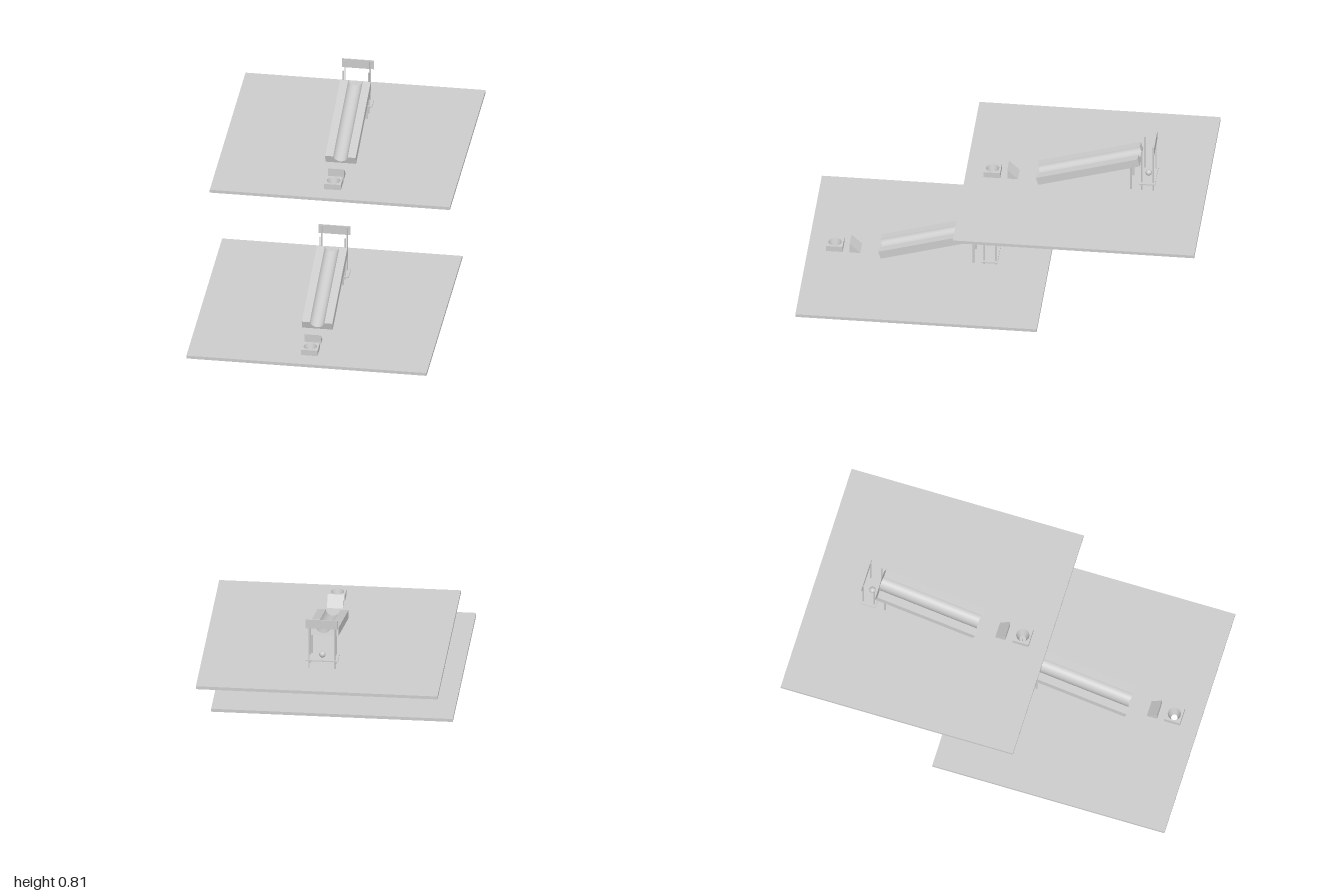
import * as THREE from 'three';

const mat = new THREE.MeshStandardMaterial({ color: 0xcccccc });
const thinMat = new THREE.MeshStandardMaterial({ color: 0xcccccc, side: THREE.DoubleSide });

const BOTTOM = 0.011, FLOOR = 0.027; // slab underside and top
const CUP_Z = 0.867;                 // centre of the cup

function add(group, name, geometry, x = 0, y = 0, z = 0, material = mat) {
  const mesh = new THREE.Mesh(geometry, material);
  mesh.name = name;
  mesh.position.set(x, y, z);
  group.add(mesh);
  return mesh;
}

// Square plate lying flat, with a round hole at holeZ from its centre
function holedPlate(size, height, holeRadius, holeZ) {
  const h = size / 2;
  const shape = new THREE.Shape([[-h, -h], [h, -h], [h, h], [-h, h]].map(p => new THREE.Vector2(...p)));
  const hole = new THREE.Path();
  hole.absarc(0, -holeZ, holeRadius, 0, Math.PI * 2, true);
  shape.holes.push(hole);
  return new THREE.ExtrudeGeometry(shape, { depth: height, bevelEnabled: false, curveSegments: 24 })
    .rotateX(-Math.PI / 2);
}

// Upright rod from the slab's underside to a given top
function rod(group, name, x, z, top, radius) {
  const height = top - BOTTOM + 0.0005;
  add(group, name, new THREE.CylinderGeometry(radius, radius, height, 16), x, top - height / 2, z);
}

function createLevel(platformY, withBall) {
  const level = new THREE.Group();

  // Ground slab with a drain hole under the cup
  add(level, 'slab', holedPlate(1.21, FLOOR - BOTTOM, 0.024, CUP_Z - 0.395), 0, BOTTOM, 0.395);

  // Cup: square block with an open funnel running down through the slab
  add(level, 'cupBlock', holedPlate(0.084, 0.03, 0.033, 0), 0, FLOOR, CUP_Z);
  const funnel = new THREE.LatheGeometry(
    [new THREE.Vector2(0.016, 0), new THREE.Vector2(0.033, 0.057)], 32);
  add(level, 'funnel', funnel, 0, 0, CUP_Z, thinMat);

  // Wedge with its upright face toward the cup
  const wedge = new THREE.Shape();
  wedge.moveTo(0, 0);
  wedge.lineTo(0.053, 0);
  wedge.lineTo(0, 0.052);
  wedge.closePath();
  const wedgeGeo = new THREE.ExtrudeGeometry(wedge, { depth: 0.082, bevelEnabled: false })
    .translate(0, 0, -0.041).rotateY(Math.PI / 2);
  add(level, 'wedge', wedgeGeo, 0, FLOOR, 0.789);

  // Sloping ramp with a round groove along its top
  const w = 0.077, t = 0.043, r = 0.037, rise = 0.006;
  const a = Math.asin(rise / r);
  const section = new THREE.Shape();
  section.moveTo(-w, 0);
  section.lineTo(w, 0);
  section.lineTo(w, t);
  section.absarc(0, t + rise, r, -a, -Math.PI + a, true);
  section.lineTo(-w, t);
  section.closePath();
  const rampGeo = new THREE.ExtrudeGeometry(section, { depth: 0.532, bevelEnabled: false, curveSegments: 24 });
  add(level, 'ramp', rampGeo, 0, 0.177, 0.12).rotation.x = 0.289;

  for (const side of [-1, 1]) {
    rod(level, 'rampPost', side * 0.06, 0.167, 0.168, 0.005);
    rod(level, 'frontRod', side * 0.064, 0.112, 0.26, 0.0035);
    rod(level, 'backRod', side * 0.064, 0.055, 0.29, 0.0035);
  }

  // Back panel and lift platform
  add(level, 'backPanel', new THREE.BoxGeometry(0.161, 0.048, 0.005), 0, 0.272, 0.051);
  add(level, 'platform', new THREE.BoxGeometry(0.163, 0.006, 0.08), 0, platformY, 0.084);
  if (withBall) add(level, 'ball', new THREE.SphereGeometry(0.016, 24, 16), 0, platformY + 0.019, 0.084);
  return level;
}

export function createModel() {
  const model = new THREE.Group();
  const lower = createLevel(0.045, false);
  lower.name = 'lowerLevel';
  const upper = createLevel(0.071, true);
  upper.name = 'upperLevel';
  upper.position.set(0, 0.51, -0.79);
  model.add(lower, upper);
  return model;
}
